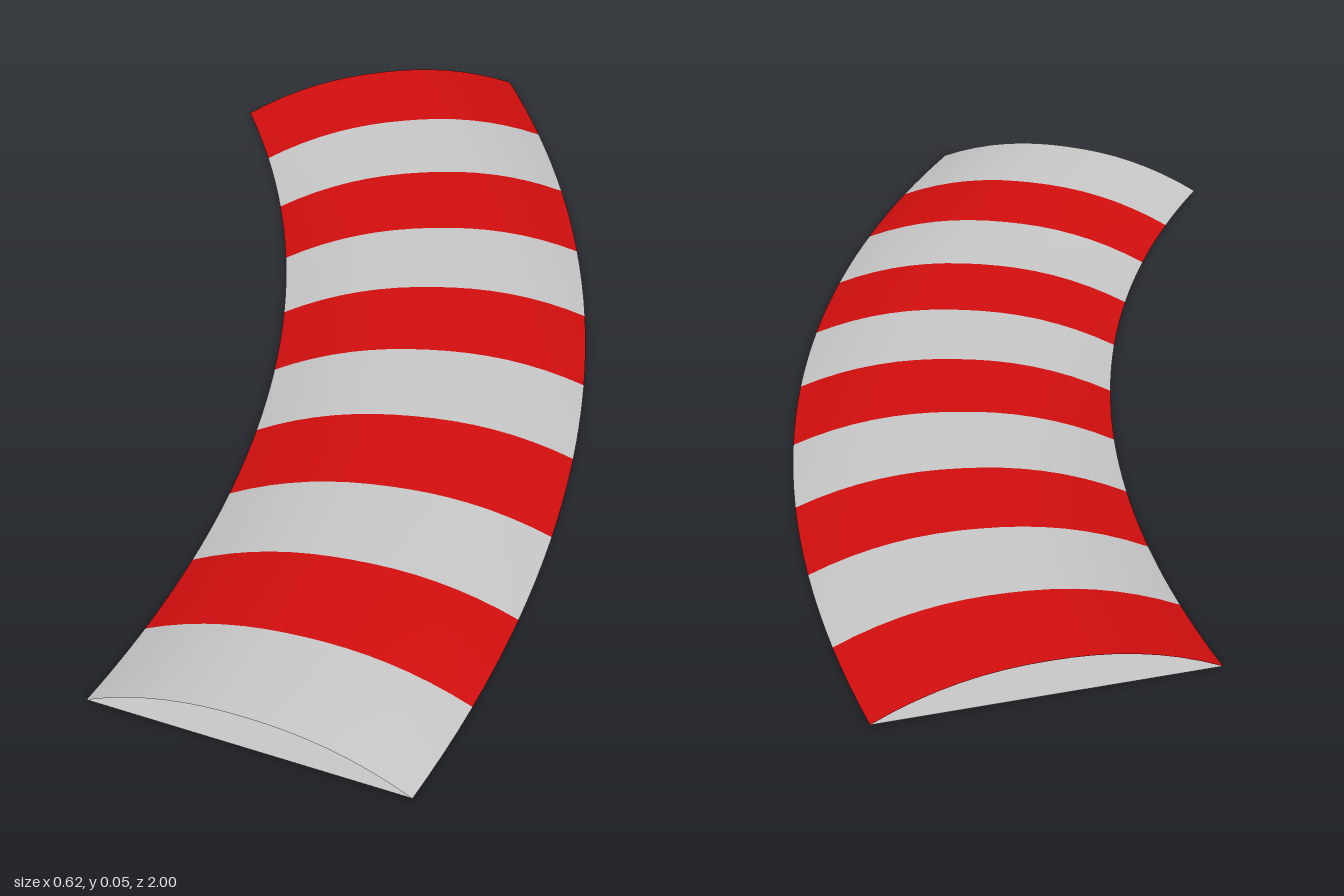
import * as THREE from 'three';

const CENTRE_X = -2.635, R_IN = 2.47, R_OUT = 2.945;
const HALF_ANGLE = Math.asin(1 / R_OUT);
const HEIGHT = 0.05, STRIPES = 10;

// Sheet swept around the bend between two angles, with height(u) across its width, u from -1 to 1
function bentSheet(a0, a1, along, across, height) {
  const pos = [], index = [];
  for (let i = 0; i <= along; i++) {
    const a = a0 + (a1 - a0) * i / along;
    for (let j = 0; j <= across; j++) {
      const u = 2 * j / across - 1;
      const r = (R_IN + R_OUT) / 2 + u * (R_OUT - R_IN) / 2;
      pos.push(CENTRE_X + r * Math.cos(a), height(u), r * Math.sin(a));
      if (i < along && j < across) {
        const p = i * (across + 1) + j, q = p + across + 1;
        index.push(p, q, p + 1, q, q + 1, p + 1);
      }
    }
  }
  const geo = new THREE.BufferGeometry();
  geo.setAttribute('position', new THREE.Float32BufferAttribute(pos, 3));
  geo.setIndex(index);
  geo.computeVertexNormals();
  return geo;
}

export function createModel() {
  const group = new THREE.Group();
  group.name = 'curvedKerb';
  const grey = new THREE.MeshStandardMaterial({ color: 0xcccccc, side: THREE.DoubleSide });
  const red = new THREE.MeshStandardMaterial({ color: 0xd70e0e, side: THREE.DoubleSide });
  const add = (name, geo, mat) => {
    const mesh = new THREE.Mesh(geo, mat);
    mesh.name = name;
    group.add(mesh);
  };

  // Domed top in alternating stripes, open at both ends
  const dome = u => HEIGHT * (1 - Math.abs(u) ** 2.2);
  const step = 2 * HALF_ANGLE / STRIPES;
  for (let s = 0; s < STRIPES; s++) {
    const a = -HALF_ANGLE + s * step;
    const isRed = s % 2 === 0;
    add(isRed ? 'redStripe' : 'greyStripe', bentSheet(a, a + step, 4, 16, dome), isRed ? red : grey);
  }

  // Flat underside in two panels with a narrow seam near the middle
  const flat = () => 0;
  add('backBasePanel', bentSheet(-HALF_ANGLE, 0.002, 20, 1, flat), grey);
  add('frontBasePanel', bentSheet(0.008, HALF_ANGLE, 20, 1, flat), grey);

  return group;
}
